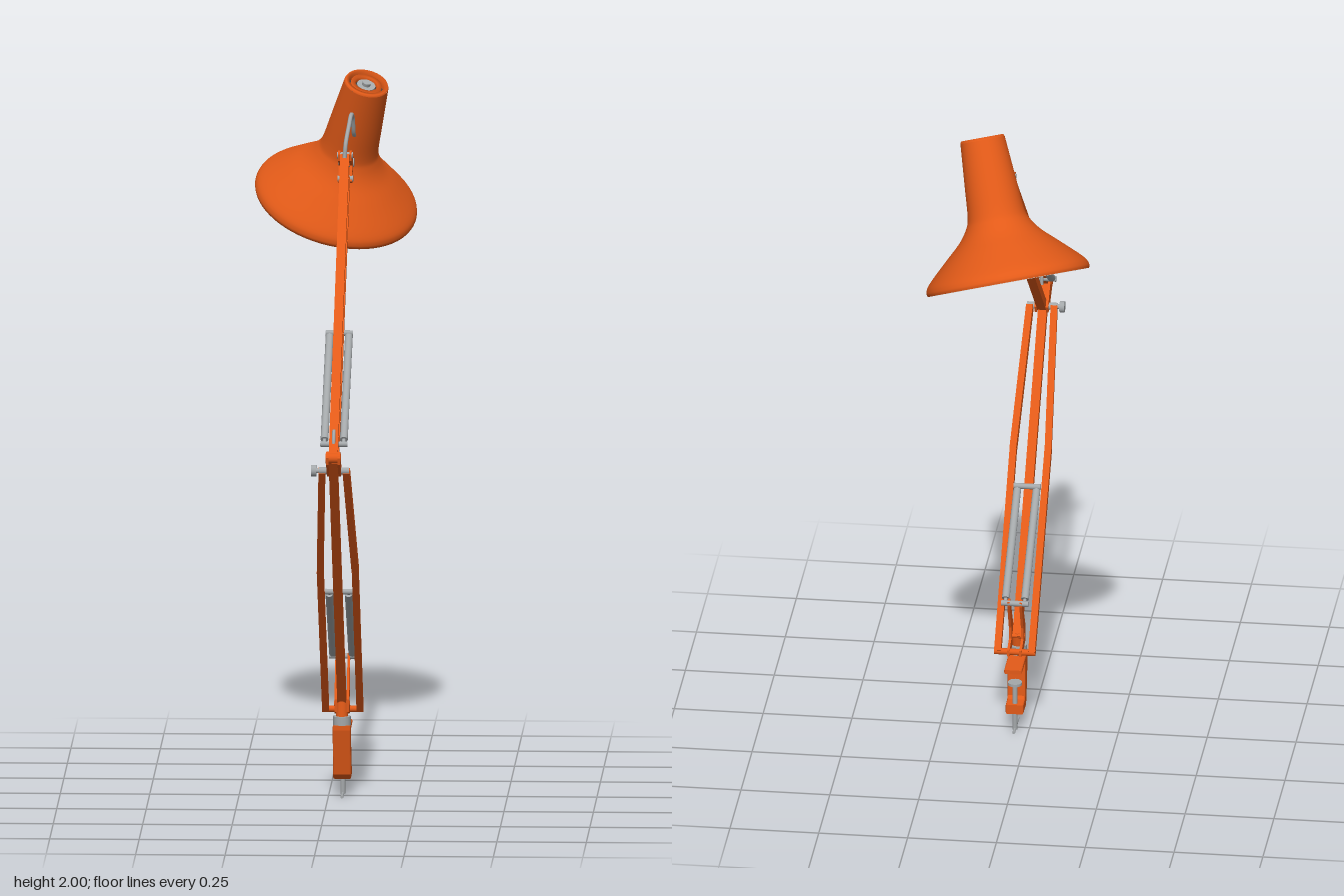
import * as THREE from 'three';

const mat = (name, color) => {
  const m = new THREE.MeshStandardMaterial({ color });
  m.name = name;
  return m;
};
const V = (x, y, z) => new THREE.Vector3(x, y, z);
const CX = 0.039; // centre plane of the arm

export function createModel() {
  const orange = mat('orange paint', 0xe25a18);
  const steel = mat('steel', 0xa4a8aa);
  const dark = mat('dark metal', 0x3c3e40);
  const lining = mat('shade lining', 0xbdbdbd);
  const glass = mat('bulb glass', 0xc6c6c6);
  const model = new THREE.Group();
  model.name = 'deskLamp';

  const add = (name, geo, m, parent = model) => {
    const mesh = new THREE.Mesh(geo, m);
    mesh.name = name;
    parent.add(mesh);
    return mesh;
  };
  // Square bar between two points
  const bar = (name, a, b, w, h) => {
    const mesh = add(name, new THREE.BoxGeometry(w, h, a.distanceTo(b)), orange);
    mesh.position.copy(a).lerp(b, 0.5);
    mesh.lookAt(b);
  };
  // Round rod between two points
  const rod = (name, a, b, r, m = steel) => {
    const mesh = add(name, new THREE.CylinderGeometry(r, r, a.distanceTo(b), 16), m);
    mesh.position.copy(a).lerp(b, 0.5);
    mesh.quaternion.setFromUnitVectors(V(0, 1, 0), b.clone().sub(a).normalize());
  };
  // Pin across the arm
  const pin = (name, y, z, half, r, m = steel) =>
    rod(name, V(CX - half, y, z), V(CX + half, y, z), r, m);
  // Side-profile plate from [z, y] points, extruded across x
  const plate = (name, pts, w, x = CX, bevel = 0) => {
    const shape = new THREE.Shape(pts.map(([z, y]) => new THREE.Vector2(z, y)));
    const geo = new THREE.ExtrudeGeometry(shape, {
      depth: w - 2 * bevel, bevelEnabled: bevel > 0, bevelSize: bevel,
      bevelThickness: bevel, bevelOffset: -bevel, bevelSegments: 2,
    });
    const mesh = add(name, geo, orange);
    mesh.rotation.y = -Math.PI / 2;
    mesh.position.x = x + w / 2 - bevel;
  };
  const wire = (name, pts, r) =>
    add(name, new THREE.TubeGeometry(new THREE.CatmullRomCurve3(pts), 32, r, 8), steel);
  // Smooth spring pair with a cross pin at each end
  const springPair = (name, [y0, z0], [y1, z1]) => {
    for (const s of [-1, 1]) {
      const a = V(CX + s * 0.027, y0, z0), b = V(CX + s * 0.027, y1, z1);
      rod(name, a.clone().lerp(b, 0.04), a.clone().lerp(b, 0.97), 0.011);
      rod(name + 'Hook', a, b, 0.005);
    }
    pin(name + 'LowerPin', y0, z0, 0.038, 0.008);
    pin(name + 'UpperPin', y1, z1, 0.038, 0.008);
  };

  // Clamp: top plate, tapered body and lower jaw in one profile
  plate('clamp', [[0.075, 0.218], [-0.065, 0.214], [-0.065, 0.202], [0.018, 0.2], [0.012, 0.1],
    [0.005, 0.092], [-0.03, 0.09], [-0.03, 0.062], [0.03, 0.06], [0.046, 0.075], [0.056, 0.12],
    [0.075, 0.205]], 0.05, CX, 0.004);
  rod('clampScrew', V(CX, 0.01, -0.017), V(CX, 0.15, -0.017), 0.007);
  rod('clampPad', V(CX, 0.148, -0.017), V(CX, 0.156, -0.017), 0.02);
  rod('clampHandle', V(CX, 0.012, -0.047), V(CX, 0.012, 0.052), 0.004);
  rod('clampCollar', V(CX, 0.216, 0.05), V(CX, 0.242, 0.05), 0.025);
  rod('swivelPost', V(CX, 0.24, 0.05), V(CX, 0.285, 0.045), 0.017, orange);

  // Base bracket cheeks carrying the lower pivots and the spring anchor
  for (const s of [-1, 1]) {
    plate('baseBracket', [[0.06, 0.255], [0.062, 0.29], [-0.012, 0.41], [-0.028, 0.405],
      [-0.026, 0.392], [0.01, 0.31], [0.012, 0.275], [-0.03, 0.258], [-0.03, 0.24], [0.03, 0.245]],
    0.007, CX + s * 0.017);
  }
  pin('baseRearPivot', 0.25, -0.02, 0.058, 0.009, orange);
  pin('baseFrontPivot', 0.275, 0.035, 0.022, 0.008, orange);

  // Lower arm: one centre bar and a bowed outer pair
  bar('lowerArmCentre', V(CX, 0.27, 0.035), V(CX, 1.07, 0.66), 0.025, 0.024);
  for (const s of [-1, 1]) {
    const low = V(CX + s * 0.048, 0.25, -0.02);
    const mid = V(CX + s * 0.049, 0.706, 0.34);
    const top = V(CX + s * 0.034, 1.03, 0.596);
    bar('lowerArmOuter', low, mid, 0.019, 0.023);
    bar('lowerArmOuter', mid, top, 0.019, 0.023);
  }
  springPair('lowerSpring', [0.4, -0.02], [0.63, 0.26]);

  // Elbow
  for (const s of [-1, 1]) {
    plate('elbowPlate', [[0.68, 1.08], [0.665, 1.095], [0.63, 1.09], [0.575, 1.035], [0.585, 1.015],
      [0.605, 1.015], [0.675, 1.06]], 0.007, CX + s * 0.016);
  }
  pin('elbowFrontPivot', 1.077, 0.665, 0.021, 0.014, orange);
  pin('elbowRearPivot', 1.03, 0.596, 0.042, 0.01);
  rod('elbowKnob', V(CX - 0.064, 1.03, 0.596), V(CX - 0.05, 1.03, 0.596), 0.016);
  rod('elbowKnobStem', V(CX - 0.052, 1.03, 0.596), V(CX - 0.03, 1.03, 0.596), 0.007);
  wire('elbowCable', [V(CX, 1.09, 0.64), V(CX, 1.125, 0.632), V(CX, 1.145, 0.612),
    V(CX, 1.135, 0.592), V(CX, 1.1, 0.585)], 0.005);

  // Upper arm
  bar('upperArmTop', V(CX, 1.08, 0.66), V(CX, 1.79, -0.162), 0.025, 0.025);
  bar('upperArmBottom', V(CX, 1.03, 0.596), V(CX, 1.72, -0.2), 0.025, 0.025);
  springPair('upperSpring', [1.108, 0.61], [1.357, 0.225]);

  // Head bracket
  for (const s of [-1, 1]) {
    plate('headBracket', [[-0.15, 1.798], [-0.175, 1.806], [-0.25, 1.77], [-0.27, 1.768], [-0.27, 1.745],
      [-0.25, 1.742], [-0.205, 1.708], [-0.188, 1.715], [-0.21, 1.757], [-0.152, 1.78]],
    0.006, CX + s * 0.016);
  }
  pin('headUpperPivot', 1.793, -0.17, 0.022, 0.009);
  pin('headLowerPivot', 1.722, -0.2, 0.022, 0.009);
  pin('headTiltPivot', 1.757, -0.262, 0.022, 0.013);
  rod('headStem', V(CX, 1.757, -0.25), V(CX + 0.01, 1.765, -0.35), 0.012, orange);
  wire('headCable', [V(CX, 1.79, -0.14), V(CX + 0.003, 1.83, -0.147), V(CX + 0.01, 1.872, -0.19),
    V(CX + 0.015, 1.898, -0.225), V(CX + 0.018, 1.888, -0.255), V(CX + 0.02, 1.835, -0.285),
    V(CX + 0.022, 1.825, -0.315)], 0.006);

  // Shade, built upright around its own axis and then tilted
  const head = new THREE.Group();
  head.name = 'shade';
  head.position.set(0, 1.612, -0.475);
  head.quaternion.setFromUnitVectors(V(0, 1, 0), V(0.095, 0.365, 0.165).normalize());
  model.add(head);
  const P = (r, s) => new THREE.Vector2(r, s);
  const flare = new THREE.SplineCurve([P(0.229, 0), P(0.231, 0.012), P(0.218, 0.035), P(0.16, 0.09),
    P(0.115, 0.132), P(0.09, 0.167), P(0.08, 0.198), P(0.073, 0.28), P(0.063, 0.404)]).getPoints(40);
  add('shadeShell', new THREE.LatheGeometry(flare, 64), orange, head);
  const inner = flare.map(p => P(p.x - 0.005, p.y)).reverse();
  add('shadeLining', new THREE.LatheGeometry(inner, 64), lining, head);
  add('shadeRim', new THREE.LatheGeometry([P(0.224, 0), P(0.229, 0)], 64), orange, head);
  // Vented top cap
  add('capRim', new THREE.LatheGeometry([P(0.063, 0.404), P(0.06, 0.411), P(0.051, 0.411),
    P(0.049, 0.39)], 48), orange, head);
  const disc = (name, r, h, y, m) => {
    add(name, new THREE.CylinderGeometry(r, r, h, 32), m, head).position.y = y;
  };
  disc('ventFloor', 0.058, 0.006, 0.388, dark);
  add('ventRing', new THREE.LatheGeometry([P(0.044, 0.39), P(0.044, 0.406), P(0.032, 0.406),
    P(0.032, 0.39)], 40), orange, head);
  disc('capWasher', 0.026, 0.012, 0.396, steel);
  disc('capNut', 0.012, 0.016, 0.403, steel);
  // Bulb and socket
  add('bulb', new THREE.SphereGeometry(0.064, 32, 20), glass, head).position.y = 0.12;
  disc('bulbSocket', 0.03, 0.21, 0.275, lining);

  return model;
}
